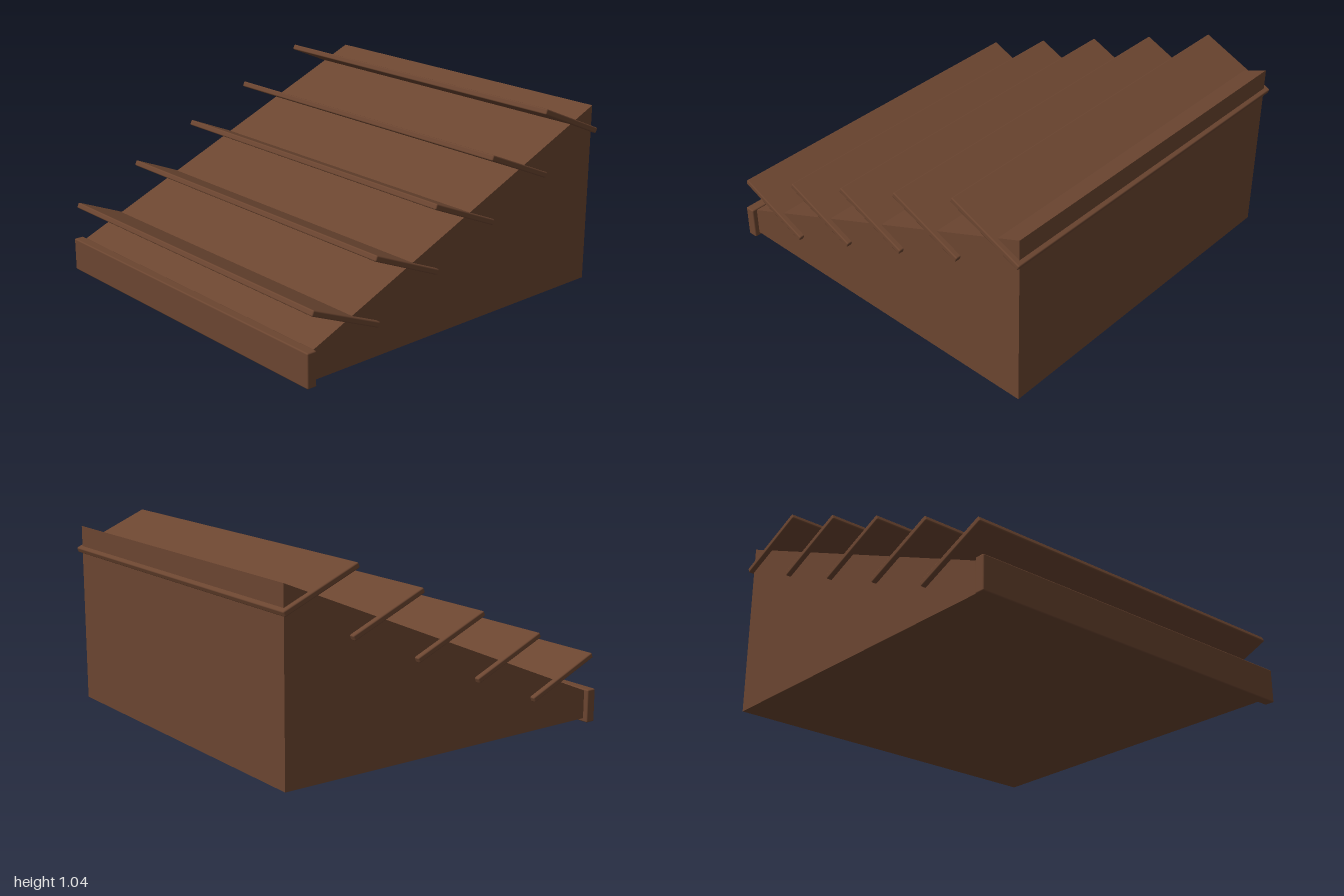
import * as THREE from 'three';
import { RoundedBoxGeometry } from 'three/addons/geometries/RoundedBoxGeometry.js';

export function createModel() {
  const model = new THREE.Group();
  model.name = 'slattedRamp';
  const wood = new THREE.MeshStandardMaterial({ color: 0x6b4530 });
  wood.name = 'brown wood';

  const add = (name, geometry, y, z) => {
    const mesh = new THREE.Mesh(geometry, wood);
    mesh.name = name;
    mesh.position.set(0, y, z);
    model.add(mesh);
    return mesh;
  };

  // Solid wedge: side profile in (z, y), extruded across the width
  const width = 1.93;
  const profile = new THREE.Shape([
    new THREE.Vector2(-0.975, 0.02),
    new THREE.Vector2(0.95, 0.02),
    new THREE.Vector2(0.95, 0.17),
    new THREE.Vector2(-0.975, 0.985),
  ]);
  const wedge = new THREE.ExtrudeGeometry(profile, { depth: width, bevelEnabled: false });
  wedge.translate(0, 0, -width / 2).rotateY(-Math.PI / 2);
  add('wedgeBody', wedge, 0, 0);

  // Upright board along the front foot
  add('frontBoard', new RoundedBoxGeometry(1.985, 0.18, 0.055, 2, 0.007), 0.09, 0.9725);

  // Five tilted slats climbing the slope, front edge raised
  const slat = new RoundedBoxGeometry(1.985, 0.03, 0.45, 2, 0.007);
  for (let i = 0; i < 5; i++) {
    const mesh = add(`slat${i + 1}`, slat, 0.28 + i * 0.1645, 0.761 - i * 0.3865);
    mesh.rotation.x = -THREE.MathUtils.degToRad(23);
  }
  return model;
}
